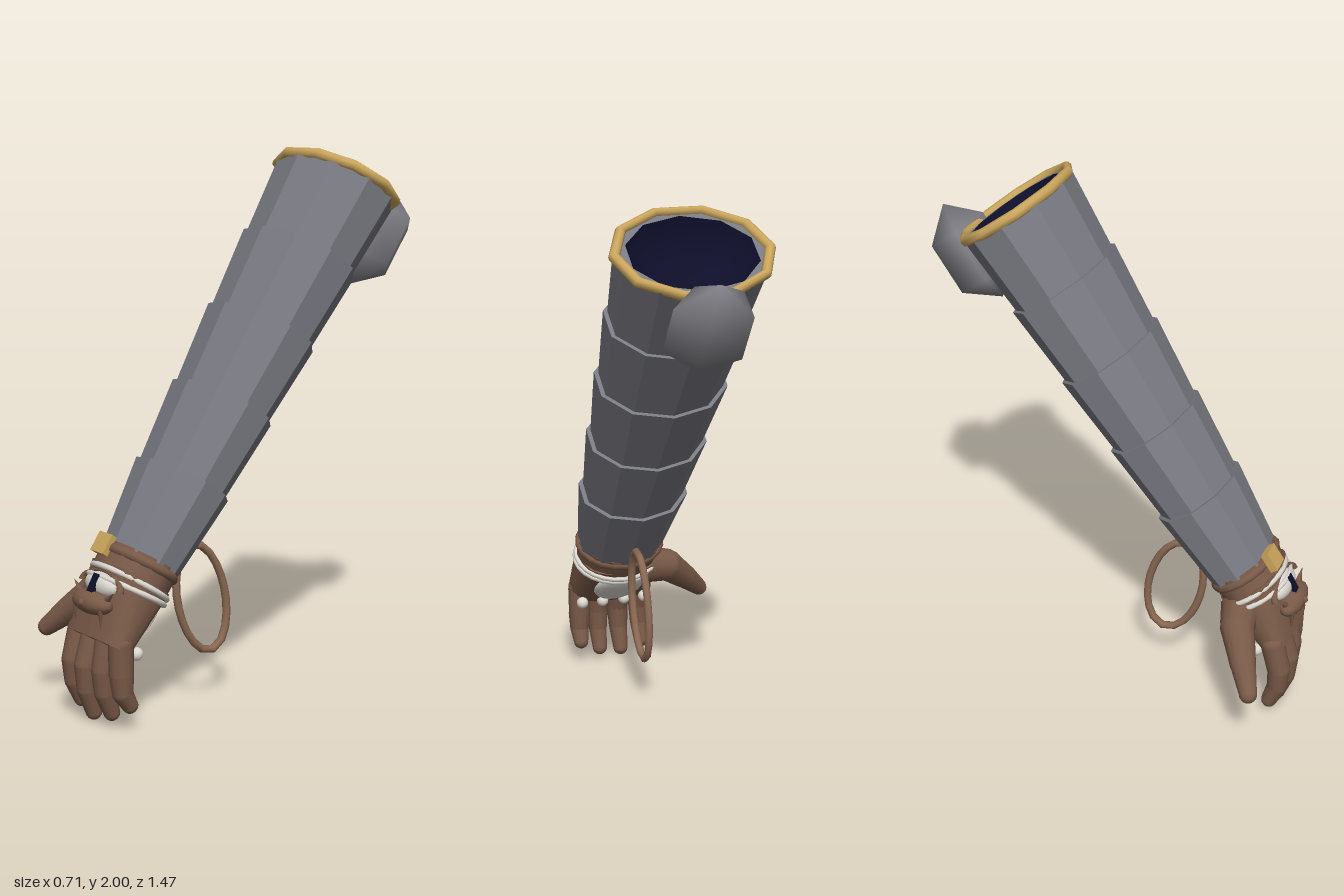
import * as THREE from 'three';
import { mergeGeometries } from 'three/addons/utils/BufferGeometryUtils.js';

const mat = (name, color, extra = {}) => {
  const m = new THREE.MeshStandardMaterial({ color, ...extra });
  m.name = name;
  return m;
};

export function createModel() {
  const steel = mat('steel', 0x7a7a83, { flatShading: true });
  const guardSteel = mat('guardSteel', 0x7c7c82);
  const gold = mat('gold', 0xcaa55c);
  const leather = mat('leather', 0x795a48);
  const rope = mat('rope', 0x8c6a54);
  const bone = mat('bone', 0xdcd8d0);
  const navy = mat('navy', 0x0e0e2a, { side: THREE.DoubleSide });

  const model = new THREE.Group();
  model.name = 'armoredArm';

  // Forearm frame: local y runs up the arm, local z is the front of the arm
  const arm = new THREE.Group();
  arm.name = 'forearm';
  arm.position.set(0.06, 0.55, 0.5);
  arm.rotation.x = -0.598;
  model.add(arm);

  const add = (parent, name, geo, material, pos = [0, 0, 0], scale = [1, 1, 1], rot = [0, 0, 0]) => {
    const m = new THREE.Mesh(geo, material);
    m.name = name;
    m.position.set(...pos);
    m.scale.set(...scale);
    m.rotation.set(...rot);
    parent.add(m);
    return m;
  };

  // Overlapping ten-sided sleeve bands: [bottom, top, bottom radius, top radius]
  const DEPTH = 0.76;
  [
    [0.02, 0.355, 0.172, 0.216],
    [0.35, 0.67, 0.198, 0.232],
    [0.665, 0.983, 0.215, 0.249],
    [0.978, 1.295, 0.232, 0.263],
    [1.29, 1.61, 0.247, 0.275],
  ].forEach(([y0, y1, r0, r1], i) => {
    const geo = new THREE.CylinderGeometry(r1, r0, y1 - y0, 10, 1, i === 4);
    add(arm, 'sleeveBand', geo, steel, [0, (y0 + y1) / 2, -0.006], [1, 1, DEPTH]);
  });

  // Open end: steel lip, dark hollow and gold rim
  const v = (x, y) => new THREE.Vector2(x, y);
  add(arm, 'sleeveLip', new THREE.LatheGeometry([v(0.275, 0), v(0.235, 0)], 10), steel,
    [0, 1.61, -0.006], [1, 1, DEPTH]).geometry.computeVertexNormals();
  steel.side = THREE.DoubleSide;
  add(arm, 'sleeveHollow', new THREE.LatheGeometry([v(0, -0.14), v(0.12, -0.11), v(0.2, -0.06), v(0.235, 0)], 10),
    navy, [0, 1.61, -0.006], [1, 1, DEPTH]);
  add(arm, 'goldRim', new THREE.TorusGeometry(0.275, 0.02, 8, 10), gold,
    [0, 1.61, -0.004], [1, 0.75, 1], [Math.PI / 2, 0, 0]);

  // Elbow guard: faceted outline with smooth shading
  add(arm, 'elbowGuard', new THREE.SphereGeometry(1, 5, 3), guardSteel,
    [0.005, 1.534, -0.279], [0.167, 0.2, 0.117], [0, Math.PI, 0]);

  // Wrist cuff, buckle and bracelet
  add(arm, 'wristCuff', new THREE.CylinderGeometry(0.17, 0.165, 0.11, 16), leather,
    [0, -0.015, -0.004], [1, 1, 0.78]);
  add(arm, 'cuffRoll', new THREE.TorusGeometry(0.163, 0.018, 8, 20), leather,
    [0, 0.015, -0.004], [1, 0.78, 1], [Math.PI / 2, 0, 0]);
  add(arm, 'goldBuckle', new THREE.BoxGeometry(0.08, 0.075, 0.03), gold, [-0.04, 0.015, 0.135]);
  [[-0.057, 0], [-0.085, 0.07]].forEach(([y, tilt]) =>
    add(arm, 'bracelet', new THREE.TorusGeometry(0.168, 0.01, 8, 24), bone,
      [0, y, -0.01], [1, 0.8, 1], [Math.PI / 2 + tilt, 0, 0]));

  // Palm: a cylinder reshaped so it thins toward the knuckles
  const palm = new THREE.CylinderGeometry(1, 1, 1, 20, 5);
  const p = palm.attributes.position;
  for (let i = 0; i < p.count; i++) {
    const k = 0.5 - p.getY(i);
    const sx = Math.sign(p.getX(i)) * Math.abs(p.getX(i)) ** 0.75;
    const sz = Math.sign(p.getZ(i)) * Math.abs(p.getZ(i)) ** 0.75;
    const front = 0.122 - 0.075 * k;
    const back = 0.13 - 0.055 * k;
    p.setXYZ(i, sx * (0.16 + 0.008 * k), -0.04 - 0.255 * k, sz * (sz > 0 ? front : back));
  }
  palm.computeVertexNormals();
  add(arm, 'palm', palm, leather);

  // Bone pad and knuckle beads on the rear of the hand
  add(arm, 'bonePad', new THREE.SphereGeometry(1, 16, 10), bone,
    [0, -0.16, -0.1], [0.1, 0.115, 0.03], [-0.22, 0, 0]);
  [-0.13, -0.045, 0.045, 0.13].forEach((x) =>
    add(arm, 'knuckleBead', new THREE.SphereGeometry(0.024, 10, 8), bone, [x, -0.275, -0.085]));

  // Rounded limb through points with a radius at each
  const UP = new THREE.Vector3(0, 1, 0);
  const limb = (name, pts, radii) => {
    const geos = [];
    const P = pts.map((a) => new THREE.Vector3(...a));
    P.forEach((a, i) => {
      geos.push(new THREE.SphereGeometry(radii[i], 12, 8).translate(a.x, a.y, a.z));
      if (i === P.length - 1) return;
      const d = P[i + 1].clone().sub(a);
      const mid = a.clone().addScaledVector(d, 0.5);
      const q = new THREE.Quaternion().setFromUnitVectors(UP, d.clone().normalize());
      geos.push(new THREE.CylinderGeometry(radii[i + 1], radii[i], d.length(), 12, 1, true)
        .applyQuaternion(q).translate(mid.x, mid.y, mid.z));
    });
    add(model, name, mergeGeometries(geos), leather);
  };

  // Four fingers: [x at base, x at tip, tip height, tip depth]
  [
    [-0.075, -0.075, 0.058, 0.645],
    [0.015, 0.012, 0.032, 0.65],
    [0.105, 0.105, 0.05, 0.635],
    [0.187, 0.19, 0.095, 0.615],
  ].forEach(([x, tx, ty, tz]) =>
    limb('finger', [[x, 0.32, 0.648], [x, 0.21, tz + 0.032], [(x + tx) / 2, 0.11 + ty * 0.35, tz + 0.028], [tx, ty, tz]],
      [0.045, 0.044, 0.038, 0.03]));
  limb('thumb', [[-0.05, 0.44, 0.51], [-0.15, 0.42, 0.53], [-0.245, 0.34, 0.585], [-0.325, 0.265, 0.635]],
    [0.075, 0.065, 0.05, 0.034]);

  // Eye ornament on the front of the hand
  const eye = new THREE.Group();
  eye.name = 'eyeOrnament';
  eye.position.x = 0.06;
  model.add(eye);
  add(eye, 'eyeball', new THREE.SphereGeometry(1, 18, 12), bone, [0, 0.505, 0.638], [0.095, 0.045, 0.04]);
  add(eye, 'pupil', new THREE.BoxGeometry(0.034, 0.07, 0.016), navy, [0, 0.515, 0.672], [1, 1, 1], [-0.5, 0, 0]);
  add(eye, 'lowerLid', new THREE.SphereGeometry(1, 16, 10), leather, [0, 0.45, 0.68], [0.11, 0.042, 0.05]);
  add(eye, 'upperLid', new THREE.TorusGeometry(0.12, 0.014, 8, 16, Math.PI), leather,
    [0, 0.5, 0.645], [1, 0.45, 1], [-0.4, 0, 0]);
  [-1, 1].forEach((s) => {
    add(eye, 'lidHorn', new THREE.ConeGeometry(0.016, 0.07, 6), leather,
      [s * 0.1, 0.485, 0.675], [1, 1, 1], [0, 0, -s * 0.9]);
    add(eye, 'lidClaw', new THREE.ConeGeometry(0.012, 0.07, 6), leather,
      [s * 0.08, 0.405, 0.7], [1, 1, 1], [Math.PI, 0, 0]);
  });
  add(eye, 'lidKnob', new THREE.SphereGeometry(0.014, 8, 6), leather, [0, 0.455, 0.724]);

  // Rope loop hanging behind the wrist, in the plane x = const
  const loop = new THREE.EllipseCurve(0, 0, 0.105, 0.21, 0, Math.PI * 2, false, 0);
  const pts = loop.getPoints(16).slice(0, 16).map((q) => new THREE.Vector3(0, q.y, q.x));
  const path = new THREE.CatmullRomCurve3(pts, true);
  add(model, 'ropeLoop', new THREE.TubeGeometry(path, 20, 0.015, 8, true), rope,
    [0.06, 0.388, 0.21], [1, 1, 1], [0.24, 0, 0]);

  return model;
}
